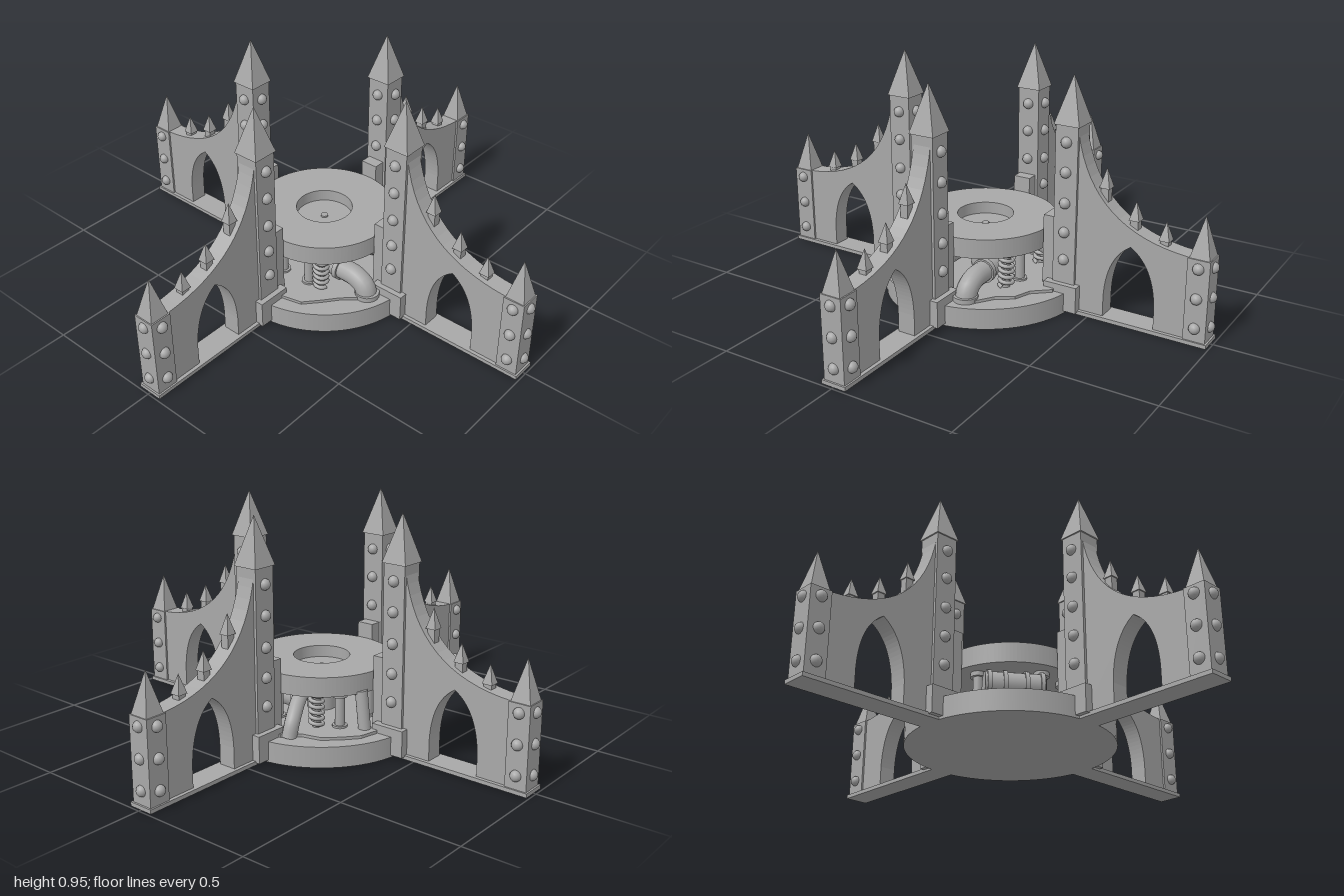
import * as THREE from 'three';

const stone = new THREE.MeshStandardMaterial({ color: 0xa8a8a8 });
stone.name = 'grey stone';
stone.side = THREE.DoubleSide;

function add(parent, name, geometry, x = 0, y = 0, z = 0) {
  const mesh = new THREE.Mesh(geometry, stone);
  mesh.name = name;
  mesh.position.set(x, y, z);
  parent.add(mesh);
  return mesh;
}

// Box given by its x range, y range and full depth in z
function block(parent, name, x0, x1, y0, y1, depth) {
  return add(parent, name, new THREE.BoxGeometry(x1 - x0, y1 - y0, depth), (x0 + x1) / 2, (y0 + y1) / 2, 0);
}

// Four-sided pyramid standing on y0
function spire(parent, name, x, y0, y1, width) {
  const g = new THREE.ConeGeometry(width / Math.SQRT2, y1 - y0, 4, 1).rotateY(Math.PI / 4).toNonIndexed();
  g.computeVertexNormals();
  return add(parent, name, g, x, (y0 + y1) / 2, 0);
}

function rivet(parent, x, y, z) {
  add(parent, 'rivet', new THREE.SphereGeometry(0.022, 14, 10), x, y, z);
}

function tube(parent, name, points, radius, segments = 24) {
  const curve = new THREE.CatmullRomCurve3(points.map(p => new THREE.Vector3(...p)));
  return add(parent, name, new THREE.TubeGeometry(curve, segments, radius, 14), 0, 0, 0);
}

// Cylinder between two points
function rod(parent, name, a, b, radius) {
  const from = new THREE.Vector3(...a), to = new THREE.Vector3(...b);
  const dir = to.clone().sub(from);
  const mesh = add(parent, name, new THREE.CylinderGeometry(radius, radius, dir.length(), 20));
  mesh.position.copy(from).add(to).multiplyScalar(0.5);
  mesh.quaternion.setFromUnitVectors(new THREE.Vector3(0, 1, 0), dir.normalize());
  return mesh;
}

// One buttress reaching out along +x
function buttress() {
  const arm = new THREE.Group();
  arm.name = 'buttress';
  block(arm, 'footPlate', 0.35, 0.99, 0, 0.016, 0.104);
  block(arm, 'towerPlinth', 0.315, 0.458, 0.01, 0.12, 0.142);
  block(arm, 'innerStep', 0.292, 0.36, 0.08, 0.385, 0.075);
  block(arm, 'tower', 0.342, 0.438, 0.016, 0.77, 0.096);
  spire(arm, 'towerSpire', 0.39, 0.765, 0.955, 0.108);
  block(arm, 'pier', 0.895, 0.983, 0.016, 0.345, 0.09);
  spire(arm, 'pierSpire', 0.939, 0.343, 0.505, 0.08);

  // Wall with a sweeping top edge and a pointed arch
  const s = new THREE.Shape();
  s.moveTo(0.42, 0.016);
  s.lineTo(0.42, 0.75);
  s.lineTo(0.435, 0.74);
  s.quadraticCurveTo(0.50, 0.37, 0.90, 0.345);
  s.lineTo(0.90, 0.016);
  s.lineTo(0.772, 0.016);
  s.lineTo(0.772, 0.1);
  s.quadraticCurveTo(0.765, 0.27, 0.666, 0.33);
  s.quadraticCurveTo(0.567, 0.27, 0.56, 0.1);
  s.lineTo(0.56, 0.016);
  s.closePath();
  const wall = new THREE.ExtrudeGeometry(s, { depth: 0.074, bevelEnabled: false, curveSegments: 16 });
  add(arm, 'archWall', wall, 0, 0, -0.037);

  // Small spikes along the sweeping edge
  for (const [x, base, tip] of [[0.54, 0.535, 0.615], [0.666, 0.43, 0.505], [0.79, 0.375, 0.45]]) {
    block(arm, 'spikeStem', x - 0.016, x + 0.016, base - 0.06, base, 0.032);
    spire(arm, 'spike', x, base, tip, 0.042);
  }

  for (const y of [0.22, 0.335, 0.455, 0.58, 0.7]) {
    for (const side of [-1, 1]) rivet(arm, 0.39, y, side * 0.05);
    if (y > 0.4) rivet(arm, 0.34, y, 0);
  }
  for (const y of [0.07, 0.19, 0.31]) {
    for (const side of [-1, 1]) rivet(arm, 0.939, y, side * 0.046);
    rivet(arm, 0.98, y, 0);
  }
  return arm;
}

// Coil spring standing upright
function spring(parent, x, z) {
  const points = [];
  for (let i = 0; i <= 60; i++) {
    const a = i / 60 * Math.PI * 12;
    points.push([x + 0.026 * Math.cos(a), 0.1 + i / 60 * 0.14, z + 0.026 * Math.sin(a)]);
  }
  tube(parent, 'spring', points, 0.008, 140);
  rod(parent, 'springCore', [x, 0.08, z], [x, 0.25, z], 0.016);
}

function machinery() {
  const m = new THREE.Group();
  m.name = 'machinery';
  rod(m, 'centreColumn', [0, 0.08, 0], [0, 0.25, 0], 0.06);

  // Posts with collars
  for (const [x, z] of [[0.09, 0.2], [-0.2, -0.13], [0.06, -0.2], [-0.21, 0.04], [-0.04, 0.21]]) {
    rod(m, 'post', [x, 0.08, z], [x, 0.25, z], 0.02);
    for (const y of [0.085, 0.222]) rod(m, 'postCollar', [x, y, z], [x, y + 0.02, z], 0.03);
  }
  for (const [x, z] of [[0.145, 0.19], [0.15, -0.19], [-0.13, -0.19]]) spring(m, x, z);

  // Twin elbow pipes bending down to the base
  for (const z of [-0.107, 0.107]) {
    tube(m, 'elbowPipe', [[0.04, 0.155, z], [0.2, 0.155, z], [0.26, 0.15, z], [0.302, 0.125, z], [0.317, 0.08, z]], 0.043);
    rod(m, 'elbowFlange', [0.317, 0.083, z], [0.317, 0.105, z], 0.05);
    rod(m, 'elbowFlange', [0.17, 0.155, z], [0.19, 0.155, z], 0.05);
  }
  // Slanting hose at the back
  tube(m, 'backHose', [[-0.06, 0.22, -0.2], [-0.08, 0.19, -0.25], [-0.1, 0.14, -0.3], [-0.1, 0.08, -0.32]], 0.03);
  rod(m, 'sidePipe', [-0.29, 0.08, -0.085], [-0.27, 0.25, -0.085], 0.025);

  // Lying barrel with hoops
  const a = new THREE.Vector3(-0.255, 0.155, 0.12), b = new THREE.Vector3(-0.07, 0.155, 0.25);
  rod(m, 'barrel', a.toArray(), b.toArray(), 0.055);
  for (const t of [0.04, 0.3, 0.66, 0.92]) {
    rod(m, 'barrelHoop', a.clone().lerp(b, t).toArray(), a.clone().lerp(b, t + 0.07).toArray(), 0.062);
  }
  return m;
}

export function createModel() {
  const model = new THREE.Group();
  model.name = 'buttressedPlatform';

  add(model, 'baseDisc', new THREE.CylinderGeometry(0.412, 0.412, 0.085, 72), 0, 0.0425, 0);

  // Jagged broken slab lying on the base
  const slab = new THREE.Shape();
  for (let i = 0; i < 28; i++) {
    const a = i / 28 * Math.PI * 2;
    const r = 0.345 + 0.03 * Math.sin(i * 2.3) * Math.cos(i * 1.1);
    slab[i ? 'lineTo' : 'moveTo'](r * Math.cos(a), r * Math.sin(a));
  }
  slab.closePath();
  const slabGeometry = new THREE.ExtrudeGeometry(slab, { depth: 0.014, bevelEnabled: false });
  add(model, 'brokenSlab', slabGeometry.rotateX(-Math.PI / 2), 0, 0.083, 0);

  // Upper ring with a shallow round well
  const ring = new THREE.Shape().absarc(0, 0, 0.29, 0, Math.PI * 2);
  ring.holes.push(new THREE.Path().absarc(0, 0, 0.115, 0, Math.PI * 2, true));
  const ringGeometry = new THREE.ExtrudeGeometry(ring, { depth: 0.08, bevelEnabled: false, curveSegments: 64 });
  add(model, 'upperRing', ringGeometry.rotateX(-Math.PI / 2), 0, 0.24, 0);
  add(model, 'wellFloor', new THREE.CylinderGeometry(0.116, 0.116, 0.03, 48), 0, 0.256, 0);
  add(model, 'wellStud', new THREE.CylinderGeometry(0.015, 0.015, 0.008, 16), 0, 0.274, 0);

  model.add(machinery());
  for (let i = 0; i < 4; i++) {
    const arm = buttress();
    arm.rotation.y = i * Math.PI / 2;
    model.add(arm);
  }
  return model;
}
